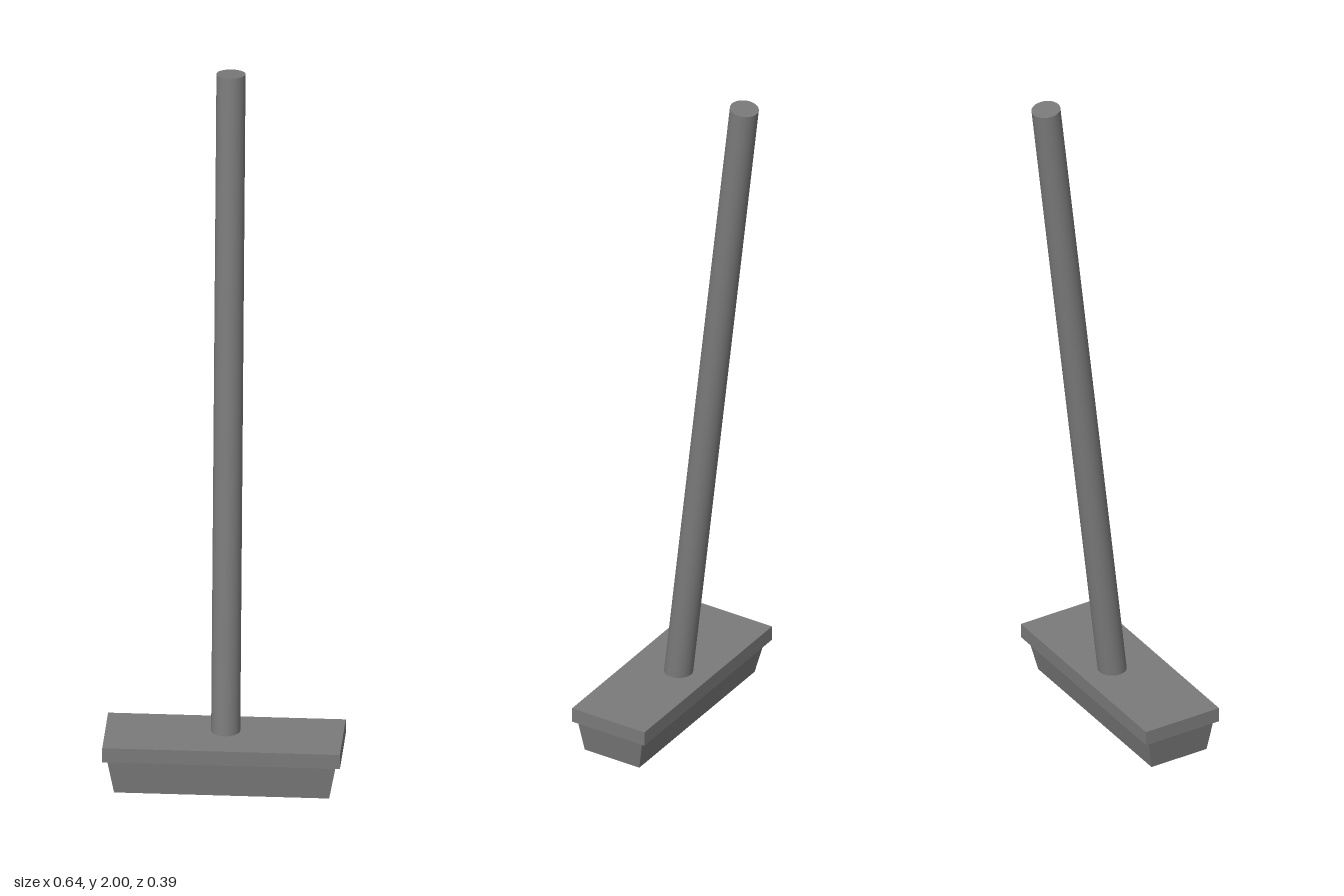
import * as THREE from 'three';

const material = new THREE.MeshStandardMaterial({ color: 0x7a7a7a });

function addPart(group, name, geometry) {
  const mesh = new THREE.Mesh(geometry, material);
  mesh.name = name;
  group.add(mesh);
  return mesh;
}

export function createModel() {
  const broom = new THREE.Group();
  broom.name = 'broom';

  // Flat board that holds the bristles
  const board = addPart(broom, 'headBoard', new THREE.BoxGeometry(0.644, 0.042, 0.232));
  board.position.set(0, 0.119, 0.077);

  // Bristle block: a box whose lower face is narrowed in x and z
  const block = new THREE.BoxGeometry(0.62, 0.1, 0.208);
  const p = block.attributes.position;
  for (let i = 0; i < p.count; i++) {
    if (p.getY(i) < 0) {
      p.setX(i, p.getX(i) * 0.94);
      p.setZ(i, p.getZ(i) * 0.84 + 0.005);
    }
  }
  const flat = block.toNonIndexed();
  flat.computeVertexNormals();
  const bristles = addPart(broom, 'bristles', flat);
  bristles.position.set(0, 0.05, 0.0795);

  // Handle: a round pole leaning back, its foot sunk into the board
  const foot = new THREE.Vector3(0.003, 0.12, 0.056);
  const tip = new THREE.Vector3(0.003, 1.9955, -0.1565);
  const axis = tip.clone().sub(foot);
  const handle = addPart(broom, 'handle', new THREE.CylinderGeometry(0.0395, 0.0395, axis.length(), 32));
  handle.position.copy(foot).add(tip).multiplyScalar(0.5);
  handle.quaternion.setFromUnitVectors(new THREE.Vector3(0, 1, 0), axis.normalize());

  return broom;
}
